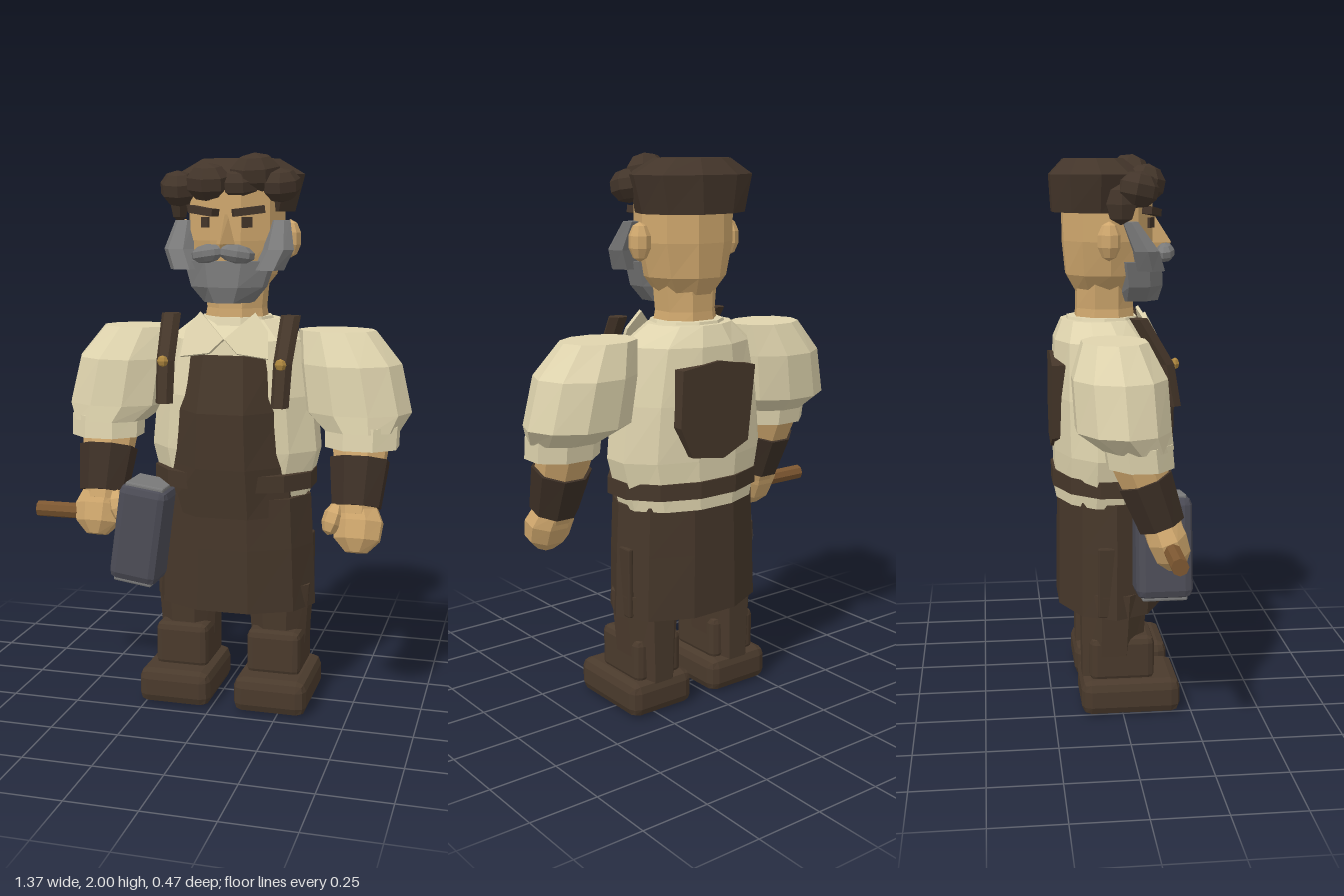
import * as THREE from 'three';
import { RoundedBoxGeometry } from 'three/addons/geometries/RoundedBoxGeometry.js';

const mat = (name, color) => Object.assign(new THREE.MeshStandardMaterial({ color }), { name });

// Faceted normals
function flat(geo) {
  const g = geo.index ? geo.toNonIndexed() : geo;
  g.computeVertexNormals();
  return g;
}

// Closed loft through horizontal rings [y, cx, cz, rx, rz], listed bottom to top
function loft(rings, n = 10, half = true) {
  const pos = [], idx = [], m = rings.length;
  for (const [y, cx, cz, rx, rz] of rings) {
    for (let j = 0; j < n; j++) {
      const t = ((j + (half ? 0.5 : 0)) / n) * Math.PI * 2;
      pos.push(cx + rx * Math.sin(t), y, cz + rz * Math.cos(t));
    }
  }
  for (let i = 0; i < m - 1; i++) {
    for (let j = 0; j < n; j++) {
      const k = (j + 1) % n, a = i * n + j, b = i * n + k;
      idx.push(a, b, b + n, a, b + n, a + n);
    }
  }
  for (const [row, up] of [[0, false], [m - 1, true]]) {
    const c = pos.length / 3, [y, cx, cz] = rings[row];
    pos.push(cx, y, cz);
    for (let j = 0; j < n; j++) {
      const a = row * n + j, b = row * n + (j + 1) % n;
      if (up) idx.push(c, a, b); else idx.push(c, b, a);
    }
  }
  const g = new THREE.BufferGeometry();
  g.setAttribute('position', new THREE.Float32BufferAttribute(pos, 3));
  g.setIndex(idx);
  return flat(g);
}

const bevelBox = (w, h, d, r) => flat(new RoundedBoxGeometry(w, h, d, 1, r));
const blob = (rx, ry, rz, w = 8, h = 5) => flat(new THREE.SphereGeometry(1, w, h).scale(rx, ry, rz));

function add(parent, name, geo, material, p = [0, 0, 0], r = [0, 0, 0]) {
  const mesh = new THREE.Mesh(geo, material);
  mesh.name = name;
  mesh.position.set(...p);
  mesh.rotation.set(...r);
  parent.add(mesh);
  return mesh;
}

export function createModel() {
  const shirt = mat('cream shirt', 0xdfd4ae), skin = mat('skin', 0xcfa76d);
  const apron = mat('apron brown', 0x46372a), boot = mat('boot leather', 0x4a3a2c);
  const hair = mat('dark hair', 0x43352a), bracer = mat('dark leather', 0x3d3026);
  const beard = mat('grey', 0x7a7a7a), iron = mat('iron', 0x4c4c56);
  const wood = mat('wood', 0x7d5731), brass = mat('brass', 0xae873f);

  const model = new THREE.Group();
  model.name = 'craftsman';
  const body = new THREE.Group();
  body.name = 'body';
  body.position.x = 0.04;
  model.add(body);

  // Torso and apron
  add(body, 'shirtTorso', loft([
    [0.77, 0, -0.045, 0.275, 0.185], [0.95, 0, -0.04, 0.32, 0.195], [1.15, 0, -0.04, 0.3, 0.2],
    [1.35, 0, -0.05, 0.25, 0.18], [1.42, 0, -0.065, 0.16, 0.135]], 12), shirt);
  add(body, 'shirtCollarBand', loft([
    [1.36, 0, -0.05, 0.16, 0.15], [1.43, 0, -0.05, 0.13, 0.13]], 10), shirt);
  add(body, 'apronSkirt', loft([
    [0.365, 0, -0.025, 0.305, 0.203], [0.6, 0, -0.022, 0.295, 0.203], [0.785, 0, -0.022, 0.285, 0.2]], 10), apron);
  add(body, 'apronBelt', loft([
    [0.815, 0, -0.025, 0.305, 0.218], [0.875, 0, -0.025, 0.305, 0.218]], 12), apron);
  add(body, 'apronBib', loft([
    [0.72, 0, 0.0, 0.25, 0.2], [0.9, 0, 0.0, 0.235, 0.22], [1.1, 0, 0.0, 0.22, 0.225],
    [1.3, 0, 0.0, 0.19, 0.175]], 8), apron);

  // Leather patch between the shoulder blades
  const patch = new THREE.Shape([
    [-0.16, 1.27], [-0.13, 1.0], [-0.02, 0.95], [0.12, 0.97], [0.17, 1.08], [0.16, 1.28], [0, 1.3],
  ].map(([x, y]) => new THREE.Vector2(x, y)));
  add(body, 'backPatch', flat(new THREE.ExtrudeGeometry(patch, { depth: 0.06, bevelEnabled: false })),
    apron, [0, 0, -0.24]);

  // Neck and head
  add(body, 'neck', loft([[1.36, 0, -0.04, 0.13, 0.12], [1.46, 0, -0.04, 0.11, 0.11],
    [1.56, 0, -0.04, 0.12, 0.11]], 8), skin);
  add(body, 'head', loft([
    [1.52, 0, -0.03, 0.1, 0.12], [1.58, 0, -0.03, 0.15, 0.155], [1.7, 0, -0.03, 0.178, 0.167],
    [1.88, 0, -0.03, 0.178, 0.167]], 10), skin);
  add(body, 'nose', loft([
    [1.65, 0, 0.12, 0.035, 0.06], [1.69, 0, 0.12, 0.037, 0.085], [1.79, 0, 0.12, 0.012, 0.02]], 4, false), skin);
  add(body, 'beard', loft([
    [1.485, 0, 0.07, 0.09, 0.09], [1.54, 0, 0.075, 0.14, 0.1], [1.63, 0, 0.065, 0.17, 0.105]], 8), beard);

  // Hair cap and front curls
  add(body, 'hairCap', loft([
    [1.8, 0, -0.07, 0.205, 0.165], [1.93, 0, -0.07, 0.24, 0.173], [1.985, 0, -0.08, 0.145, 0.11]], 10), hair);
  for (const [x, y, z, r] of [[-0.19, 1.88, 0.06, 0.075], [-0.07, 1.9, 0.1, 0.08], [0.09, 1.93, 0.06, 0.085],
    [0.04, 1.89, 0.09, 0.065], [0.18, 1.89, 0.05, 0.07]]) {
    add(body, 'hairCurl', blob(r * 1.1, r * 0.85, r * 0.9, 7, 5), hair, [x, y, z], [0.2, x * 5, 0]);
  }
  add(body, 'hairSideLock', blob(0.035, 0.07, 0.06, 6, 4), hair, [-0.205, 1.83, 0]);

  for (const s of [1, -1]) {
    const side = s > 0 ? 'left' : 'right';

    // Face details
    add(body, side + 'Ear', blob(0.04, 0.068, 0.042), skin, [s * 0.195, 1.705, -0.04]);
    add(body, side + 'Eye', new THREE.BoxGeometry(0.036, 0.036, 0.009), hair, [s * 0.075, 1.763, 0.121], [0, s * 0.6, 0]);
    add(body, side + 'Eyebrow', new THREE.BoxGeometry(0.11, 0.026, 0.04), hair, [s * 0.08, 1.802, 0.122], [0, s * 0.45, s * 0.12]);
    add(body, side + 'Moustache', blob(0.065, 0.033, 0.035), beard, [s * 0.053, 1.657, 0.175], [0, s * 0.25, -s * 0.15]);
    add(body, side + 'Sideburn', loft([
      [1.6, s * 0.15, 0.11, 0.055, 0.055], [1.67, s * 0.18, 0.09, 0.055, 0.05],
      [1.77, s * 0.175, 0.035, 0.035, 0.03]], 6), beard);

    // Collar flap
    const flap = new THREE.Shape([[0, 0.06], [0.05, 0.01], [0.16, 0], [0.15, 0.1], [0.1, 0.165]]
      .map(([x, y]) => new THREE.Vector2(s * x, y)));
    add(body, side + 'CollarFlap', flat(new THREE.ExtrudeGeometry(flap, { depth: 0.012, bevelEnabled: false })),
      shirt, [0, 1.3, 0.165], [-0.4, s * 0.15, 0]);

    // Apron strap with brass stud
    add(body, side + 'Strap', loft([
      [1.13, s * 0.21, 0.185, 0.032, 0.03], [1.28, s * 0.213, 0.155, 0.034, 0.035],
      [1.44, s * 0.22, 0.06, 0.036, 0.035]], 6), apron);
    add(body, side + 'Stud', blob(0.021, 0.021, 0.016, 6, 4), brass, [s * 0.213, 1.28, 0.19]);
    add(body, side + 'SkirtFold', bevelBox(0.02, 0.26, 0.08, 0.006), apron, [s * 0.28, 0.5, -0.05]);

    // Puffed sleeve and cuff
    add(body, side + 'Sleeve', loft([
      [1.04, s * 0.47, 0.025, 0.14, 0.125], [1.1, s * 0.45, -0.02, 0.195, 0.165],
      [1.27, s * 0.42, -0.03, 0.185, 0.165], [1.385, s * 0.37, -0.04, 0.14, 0.115]], 10), shirt);
    add(body, side + 'Cuff', loft([
      [0.98, s * 0.478, 0.035, 0.136, 0.118], [1.06, s * 0.478, 0.025, 0.138, 0.12]], 8), shirt);

    // Forearm leaning forward, bracer and hand
    const arm = new THREE.Group();
    arm.name = side + 'Forearm';
    arm.position.set(s * 0.473, 1.0, 0.025);
    arm.rotation.x = -0.35;
    body.add(arm);
    add(arm, side + 'ForearmSkin', loft([[-0.27, 0, 0, 0.075, 0.07], [0.03, 0, 0, 0.108, 0.1]], 8), skin);
    add(arm, side + 'Bracer', loft([[-0.24, 0, 0, 0.09, 0.085], [-0.07, 0, 0, 0.11, 0.1]], 8), bracer);
    add(arm, side + 'Hand', loft([
      [-0.4, s * 0.01, 0, 0.04, 0.035], [-0.355, s * 0.01, 0, 0.085, 0.065],
      [-0.29, s * 0.01, 0, 0.093, 0.072], [-0.23, 0, 0, 0.075, 0.065]], 8), skin);
    add(arm, side + 'Thumb', blob(0.038, 0.06, 0.042, 6, 5), skin, [-s * 0.075, -0.29, 0.035], [0, 0, -s * 0.25]);

    // Trouser leg and boot
    add(body, side + 'TrouserLeg', loft([
      [0.1, s * 0.175, -0.035, 0.1, 0.115], [0.45, s * 0.175, -0.025, 0.125, 0.13]], 8), boot);
    add(body, side + 'BootShaft', bevelBox(0.2, 0.17, 0.235, 0.025), boot, [s * 0.175, 0.2, 0]);
    add(body, side + 'BootFoot', bevelBox(0.27, 0.13, 0.36, 0.035), boot, [s * 0.18, 0.065, 0.03]);
  }

  // Hammer held in the right hand
  const hammer = new THREE.Group();
  hammer.name = 'hammer';
  hammer.position.set(-0.265, 0.645, 0.135);
  hammer.rotation.z = -0.14;
  model.add(hammer);
  add(hammer, 'hammerHead', bevelBox(0.185, 0.36, 0.2, 0.03), iron);
  for (const s of [1, -1]) {
    add(hammer, 'hammerFace', bevelBox(0.145, 0.02, 0.16, 0.006), beard, [0, s * 0.178, 0]);
  }
  add(model, 'hammerHandle', flat(new THREE.CylinderGeometry(0.03, 0.03, 0.45, 8)), wood,
    [-0.46, 0.7, 0.135], [0, 0, Math.PI / 2]);

  return model;
}
